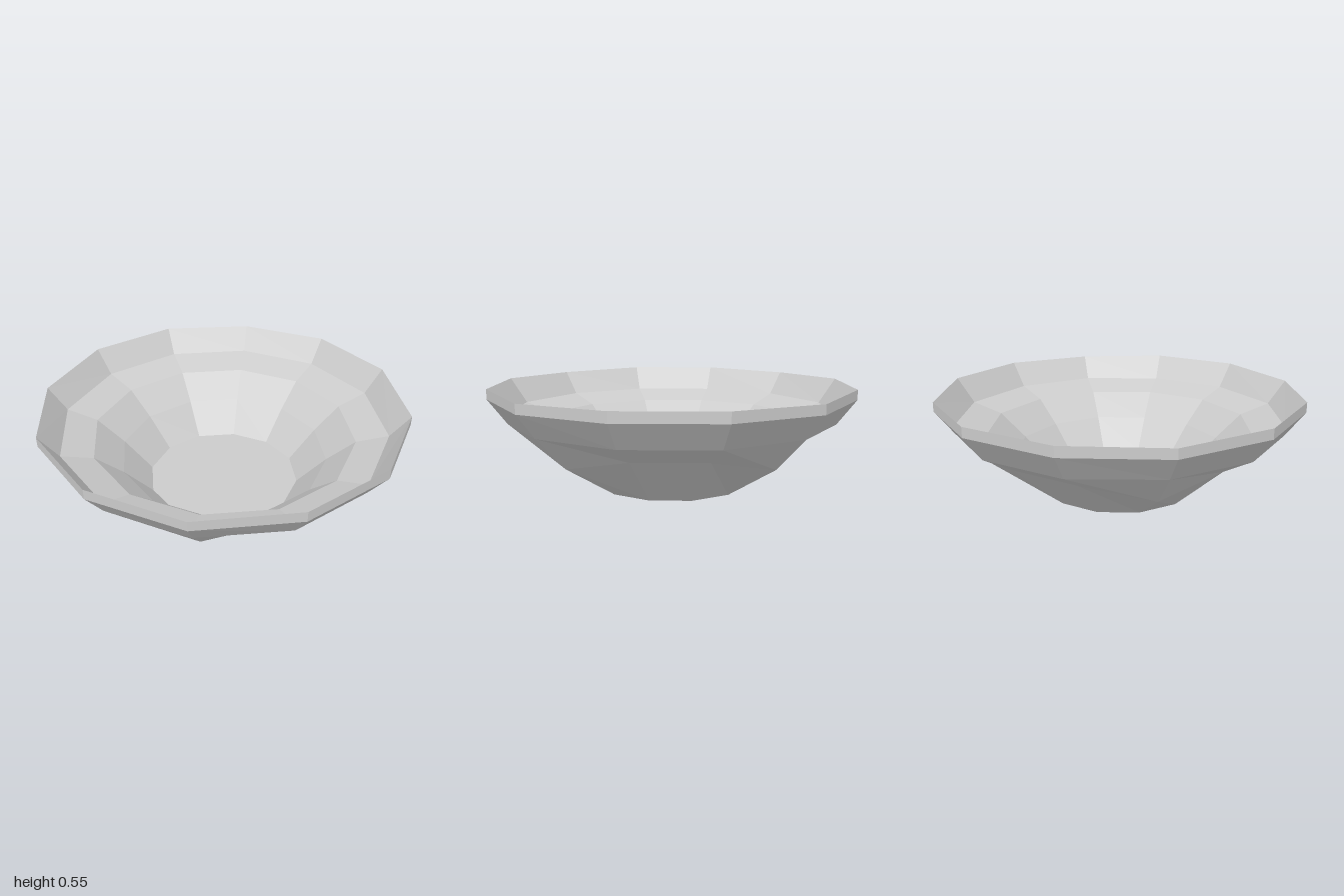
import * as THREE from 'three';

const SIDES = 12;

// Cross-section as [radius, height, drop]; drop lowers every third corner,
// which gives the faceted wall its uneven, hand-cut look.
const outerProfile = [
  [0, 0, 0], [0.425, 0, 0],   // foot
  [0.73, 0.27, 0.08],         // lower wall
  [0.9, 0.367, 0],            // upper wall
  [1, 0.5, 0.005],            // underside of rim band
  [1, 0.554, 0.008],          // rim edge
];
const innerProfile = [
  [1, 0.554, 0.008],          // rim edge
  [0.9, 0.415, 0],            // inner lip
  [0.73, 0.36, 0],            // shallow shelf
  [0.58, 0.228, 0],           // inner wall
  [0.425, 0.06, 0], [0, 0.06, 0], // floor
];

function facetedShell(name, profile, material) {
  const points = profile.map(([r, y]) => new THREE.Vector2(r, y));
  const geometry = new THREE.LatheGeometry(points, SIDES);
  const position = geometry.attributes.position;
  for (let i = 0; i <= SIDES; i += 3) {
    profile.forEach(([, y, drop], j) => position.setY(i * profile.length + j, y - drop));
  }
  const mesh = new THREE.Mesh(geometry, material);
  mesh.name = name;
  return mesh;
}

export function createModel() {
  const bowl = new THREE.Group();
  bowl.name = 'bowl';
  const material = new THREE.MeshStandardMaterial({ color: 0xcccccc, flatShading: true });
  bowl.add(facetedShell('outerWall', outerProfile, material));
  bowl.add(facetedShell('innerWall', innerProfile, material));
  return bowl;
}
